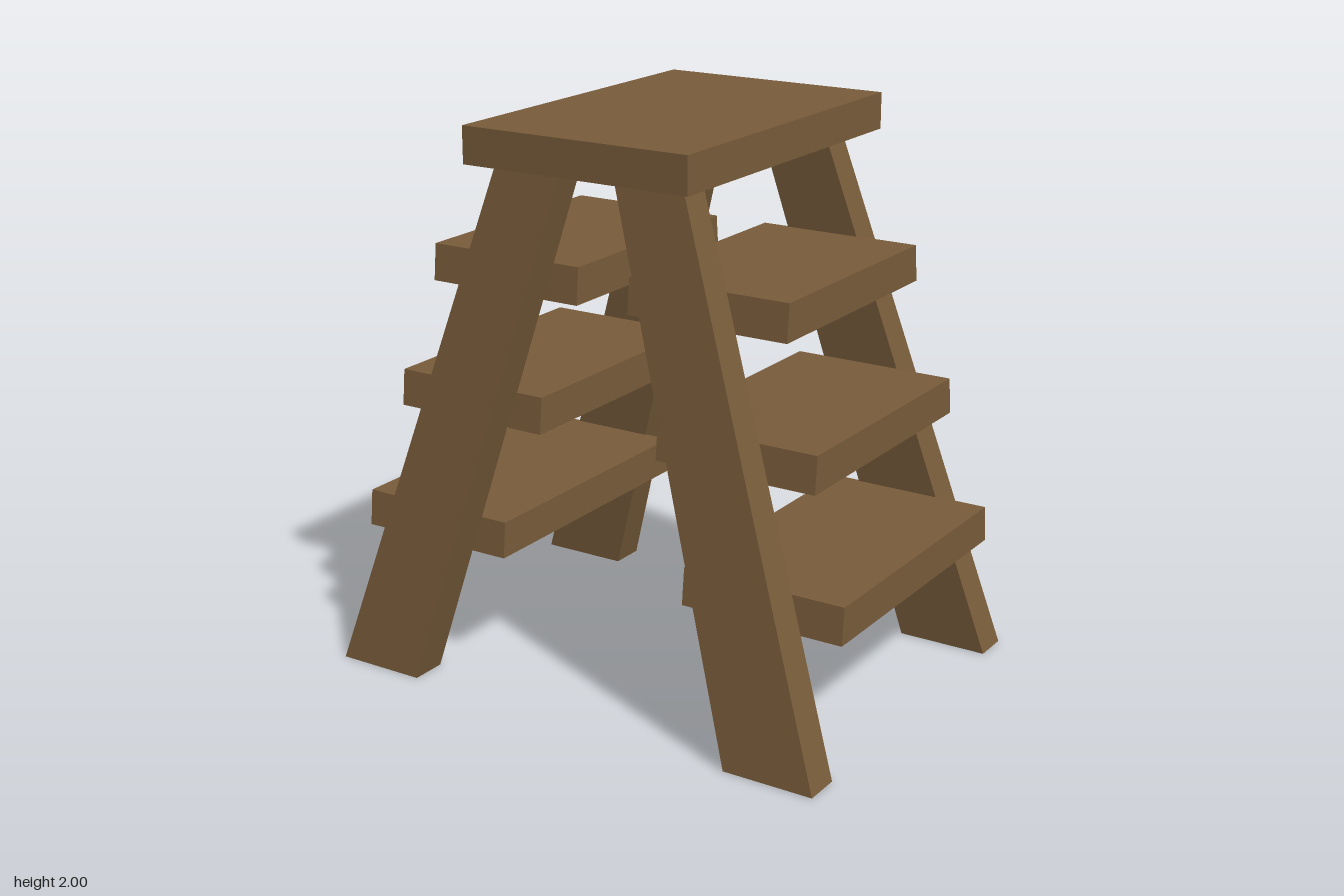
import * as THREE from 'three';

const wood = new THREE.MeshStandardMaterial({ color: 0x785c3a, flatShading: true });

// Board with a rectangular bottom and top: each rectangle is [x0, x1, z0, z1]
function board(name, y0, y1, bottom, top) {
  const geometry = new THREE.BoxGeometry(1, 1, 1);
  const p = geometry.attributes.position;
  for (let i = 0; i < p.count; i++) {
    const up = p.getY(i) > 0;
    const r = up ? top : bottom;
    p.setXYZ(i, p.getX(i) > 0 ? r[1] : r[0], up ? y1 : y0, p.getZ(i) > 0 ? r[3] : r[2]);
  }
  geometry.computeVertexNormals();
  const mesh = new THREE.Mesh(geometry, wood);
  mesh.name = name;
  return mesh;
}

// Mirror a rectangle across x and/or z, keeping min before max
function mirror([x0, x1, z0, z1], sx, sz) {
  const [a, b] = sx > 0 ? [x0, x1] : [-x1, -x0];
  const [c, d] = sz > 0 ? [z0, z1] : [-z1, -z0];
  return [a, b, c, d];
}

export function createModel() {
  const group = new THREE.Group();
  group.name = 'stepLadder';

  // Top platform, overhanging a little more at the back
  const platform = [-0.437, 0.437, -0.672, 0.605];
  group.add(board('topPlatform', 1.87, 2, platform, platform));

  // Four splayed, tapering legs
  const foot = [0.64, 0.973, 0.572, 0.705];
  const head = [0.103, 0.367, 0.405, 0.52];
  for (const sx of [1, -1]) {
    for (const sz of [1, -1]) {
      const name = (sz > 0 ? 'front' : 'back') + (sx > 0 ? 'Left' : 'Right') + 'Leg';
      group.add(board(name, 0, 1.87, mirror(foot, sx, sz), mirror(head, sx, sz)));
    }
  }

  // Three steps per side: bottom y, inner x, outer x, back z, front z
  const steps = [
    [0.46, 0.37, 0.973, -0.54, 0.53],
    [0.93, 0.236, 0.838, -0.49, 0.483],
    [1.4, 0.102, 0.706, -0.455, 0.445],
  ];
  for (const sx of [1, -1]) {
    steps.forEach(([y, x0, x1, z0, z1], i) => {
      const bottom = mirror([x0, x1, z0, z1], sx, 1);
      const top = mirror([x0, x1, z0 + 0.013, z1 - 0.013], sx, 1);
      group.add(board((sx > 0 ? 'left' : 'right') + 'Step' + (i + 1), y, y + 0.13, bottom, top));
    });
  }
  return group;
}
